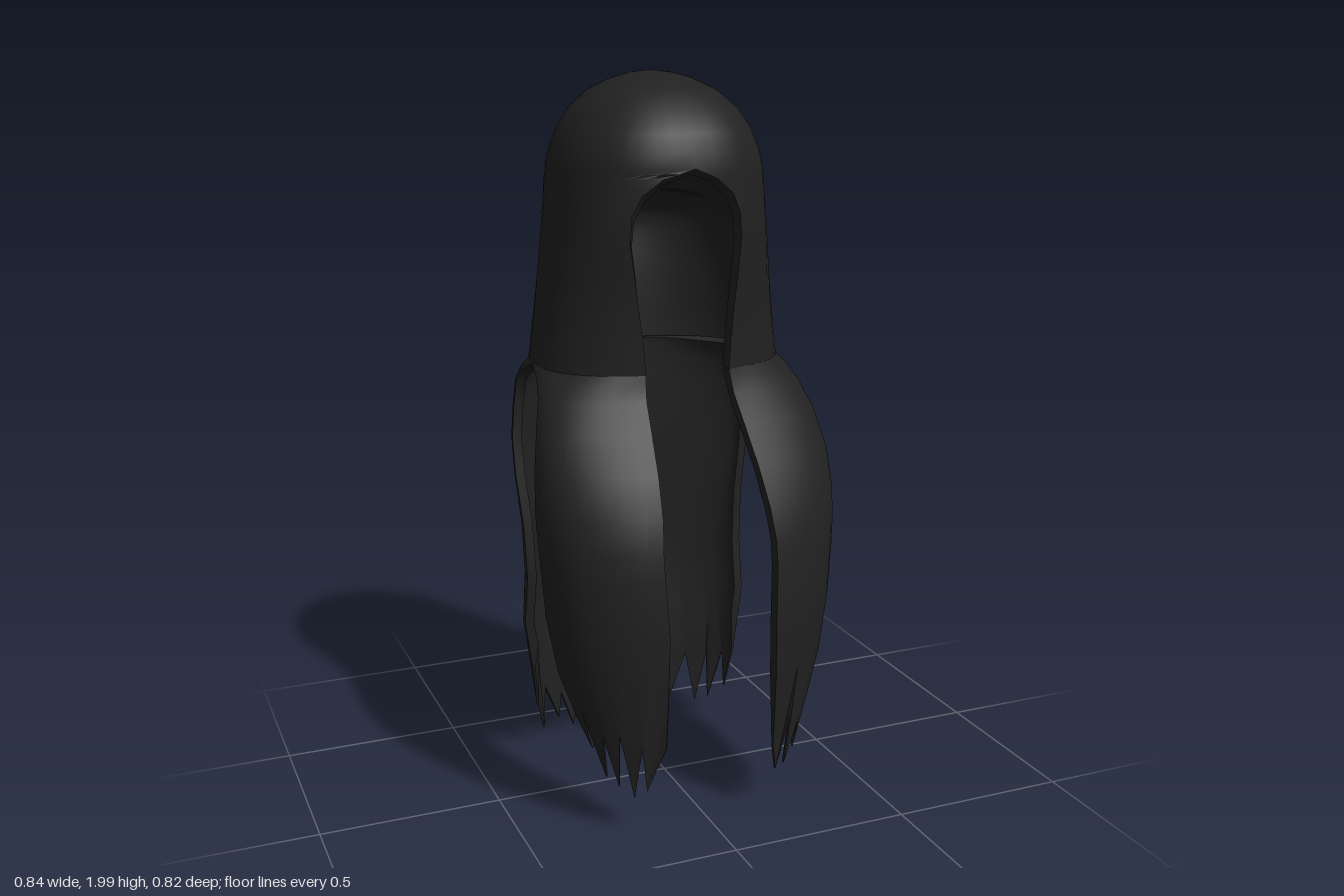
import * as THREE from 'three';
import { mergeVertices, toCreasedNormals } from 'three/addons/utils/BufferGeometryUtils.js';

// Edges of the face opening by height: [y, right edge, left edge]
const OPENING = [[1.765, 0, 0], [1.74, 0.085, 0.06], [1.7, 0.135, 0.11], [1.65, 0.16, 0.133], [1.58, 0.165, 0.14],
  [1.4, 0.138, 0.128], [1.25, 0.118, 0.115], [1, 0.142, 0.14], [0.8, 0.162, 0.158], [0.6, 0.152, 0.15],
  [0.4, 0.152, 0.16], [0.1, 0.16, 0.17]];
// Rings of the hood: [y, half width, centre z, front z, back z]
const HOOD = [[2, 0, -0.1, -0.1, -0.1], [1.995, 0.05, -0.1, -0.05, -0.15], [1.98, 0.105, -0.095, 0.01, -0.205],
  [1.95, 0.167, -0.09, 0.075, -0.28], [1.9, 0.222, -0.09, 0.14, -0.328], [1.85, 0.254, -0.09, 0.18, -0.355],
  [1.8, 0.273, -0.09, 0.2, -0.372], [1.76, 0.283, -0.09, 0.207, -0.38], [1.7, 0.289, -0.09, 0.209, -0.384],
  [1.6, 0.298, -0.09, 0.212, -0.38], [1.4, 0.323, -0.09, 0.184, -0.366], [1.235, 0.346, -0.09, 0.176, -0.36]];
// Rings of the back curtain: as above, the centre z is the right side edge and the last value the left side edge
const BACK = [[1.235, 0.346, -0.09, 0, -0.36, -0.09], [1.21, 0.352, -0.15, 0, -0.36, -0.15],
  [1.17, 0.358, -0.2, 0, -0.36, -0.205], [1.1, 0.364, -0.212, 0, -0.362, -0.226], [1, 0.37, -0.215, 0, -0.365, -0.248],
  [0.9, 0.368, -0.2, 0, -0.375, -0.252], [0.75, 0.355, -0.178, 0, -0.393, -0.254], [0.6, 0.35, -0.168, 0, -0.41, -0.25],
  [0.45, 0.352, -0.195, 0, -0.412, -0.232], [0.3, 0.33, -0.2, 0, -0.388, -0.225], [0, 0.29, -0.24, 0, -0.345, -0.24]];
// Rings of the front locks, the centre z is where their outer edges run
const LOCK = [[1.235, 0.346, -0.09, 0.176, 0], [1.21, 0.358, -0.02, 0.18, 0], [1.17, 0.374, 0.04, 0.192, 0],
  [1.08, 0.403, 0.105, 0.258, 0], [0.98, 0.418, 0.133, 0.33, 0], [0.87, 0.422, 0.145, 0.39, 0],
  [0.75, 0.412, 0.15, 0.412, 0], [0.6, 0.4, 0.15, 0.424, 0], [0.45, 0.375, 0.165, 0.415, 0],
  [0.3, 0.325, 0.19, 0.412, 0], [0.1, 0.27, 0.24, 0.36, 0]];
const THICKNESS = 0.026;

// Straight interpolation in a table sorted from high y to low y
function lookup(table, y) {
  let i = 0;
  while (i < table.length - 2 && y < table[i + 1][0]) i++;
  const a = table[i], b = table[i + 1];
  const k = THREE.MathUtils.clamp((a[0] - y) / (a[0] - b[0]), 0, 1);
  return a.map((value, n) => value + (b[n] - value) * k);
}

// Point on a ring, angle 0 faces front and grows toward +x; the front is slightly squared
const FRONT_POWER = 0.85;
function ringPoint(table, angle, y) {
  const [, width, right, front, back, left = right] = lookup(table, y);
  const centre = angle < Math.PI ? left : right;
  const forward = Math.cos(angle) > 0;
  const bend = (n) => Math.sign(n) * Math.pow(Math.abs(n), forward ? FRONT_POWER : 0.97);
  const reach = forward ? front - centre : centre - back;
  return new THREE.Vector3(width * bend(Math.sin(angle)), y, centre + reach * bend(Math.cos(angle)));
}

// Angle at which the face opening cuts a ring; side 1 is right, 2 is left
function openingAngle(table, y, side) {
  if (y >= OPENING[0][0]) return 0;
  const ratio = lookup(OPENING, y)[side] / lookup(table, y)[1];
  return Math.asin(Math.pow(Math.min(ratio, 1), 1 / FRONT_POWER));
}

function seeded(seed) {
  return () => (seed = (seed * 16807) % 2147483647) / 2147483647;
}

// Closed sheet with thickness from a grid of points
function shell(columns, rows, pointAt, thicknessAt, shapeInner) {
  const w = columns + 1, count = w * (rows + 1);
  const points = [], outer = [], index = [];
  for (let r = 0; r <= rows; r++) for (let c = 0; c <= columns; c++) points.push(pointAt(c, r));
  for (let r = 0; r < rows; r++) for (let c = 0; c < columns; c++) {
    const a = r * w + c, b = a + 1, d = a + w, e = d + 1;
    outer.push(a, d, b, b, d, e);
  }
  const sheet = new THREE.BufferGeometry().setFromPoints(points).setIndex(outer);
  sheet.computeVertexNormals();
  const normal = new THREE.Vector3();
  const inner = points.map((p, i) => {
    normal.fromBufferAttribute(sheet.attributes.normal, i);
    const q = p.clone().addScaledVector(normal, -thicknessAt(Math.floor(i / w)));
    if (shapeInner) shapeInner(q);
    return q;
  });
  index.push(...outer);
  for (let i = 0; i < outer.length; i += 3) index.push(outer[i] + count, outer[i + 2] + count, outer[i + 1] + count);
  // rim around all four borders
  const rim = [];
  for (let c = 0; c < columns; c++) rim.push(c);
  for (let r = 0; r < rows; r++) rim.push(r * w + columns);
  for (let c = columns; c > 0; c--) rim.push(rows * w + c);
  for (let r = rows; r > 0; r--) rim.push(r * w);
  rim.forEach((a, i) => {
    const b = rim[(i + 1) % rim.length];
    index.push(a, b, b + count, a, b + count, a + count);
  });
  const solid = new THREE.BufferGeometry().setFromPoints([...points, ...inner]).setIndex(index);
  return toCreasedNormals(mergeVertices(solid), 0.75);
}

// Hanging sheet that ends in pointed strands
function hangingHair(table, heights, columns, range, notch, tip, seed) {
  const random = seeded(seed);
  const ends = [], sway = [];
  for (let c = 0; c <= columns; c++) {
    const s = c / columns, pointed = c % 2 === 1;
    ends.push((pointed ? tip(s) : notch(s)) + (random() - 0.5) * 0.07);
    sway.push(pointed ? (random() - 0.5) * 0.9 : 0);
  }
  const rows = heights.length;
  const pointAt = (c, r) => {
    const last = r === rows;
    const y = last ? Math.max(ends[c], 0) : heights[r];
    const [from, to] = range(y);
    const s = (c + (last ? sway[c] : 0)) / columns;
    return ringPoint(table, from + (to - from) * s, y);
  };
  return shell(columns, rows, pointAt, (r) => (r === rows ? 0.006 : THICKNESS));
}

export function createModel() {
  const group = new THREE.Group();
  const hair = new THREE.MeshStandardMaterial({ color: 0x212121, side: THREE.DoubleSide });
  hair.name = 'black hair';
  const add = (name, geometry) => {
    const mesh = new THREE.Mesh(geometry, hair);
    mesh.name = name;
    group.add(mesh);
  };

  // Hood over the head, with the face opening and a low inner dome behind it
  const hoodRows = [2, 1.995, 1.98, 1.95, 1.9, 1.85, 1.8, 1.765, 1.753, 1.74, 1.72, 1.7, 1.65, 1.58, 1.49, 1.4, 1.31, 1.235];
  const hoodColumns = 40;
  const lowerDome = (q) => {
    q.y -= Math.max(0, q.y - 1.45) * 0.55 * THREE.MathUtils.clamp((0.2 - q.z) / 0.3, 0, 1);
  };
  add('hood', shell(hoodColumns, hoodRows.length - 1, (c, r) => {
    const y = hoodRows[r], from = openingAngle(HOOD, y, 2), to = Math.PI * 2 - openingAngle(HOOD, y, 1);
    return ringPoint(HOOD, from + (to - from) * (c / hoodColumns), y);
  }, () => THICKNESS, lowerDome));

  // Back curtain, longest in the middle
  const hang = [1.235, 1.21, 1.17, 1.1, 1, 0.9, 0.82, 0.75, 0.68, 0.6, 0.52, 0.45];
  const middle = (s) => (2 * s - 1) ** 2;
  add('backCurtain', hangingHair(BACK, [...hang, 0.37], 22, () => [Math.PI / 2, Math.PI * 1.5],
    (s) => 0.15 + 0.14 * middle(s), (s) => 0.035 + 0.14 * middle(s), 77));

  // Front locks either side of the face
  const quarter = Math.PI / 2;
  const lockTip = (s) => 0.16 + 0.13 * s - 0.06 * Math.sin(Math.PI * s);
  const lockNotch = (s) => 0.26 + 0.1 * s;
  add('leftFrontLock', hangingHair(LOCK, hang, 10, (y) => [openingAngle(LOCK, y, 2), quarter],
    lockNotch, lockTip, 1234));
  add('rightFrontLock', hangingHair(LOCK, hang, 10, (y) => [-quarter, -openingAngle(LOCK, y, 1)],
    (s) => lockNotch(1 - s), (s) => lockTip(1 - s), 4321));

  return group;
}
